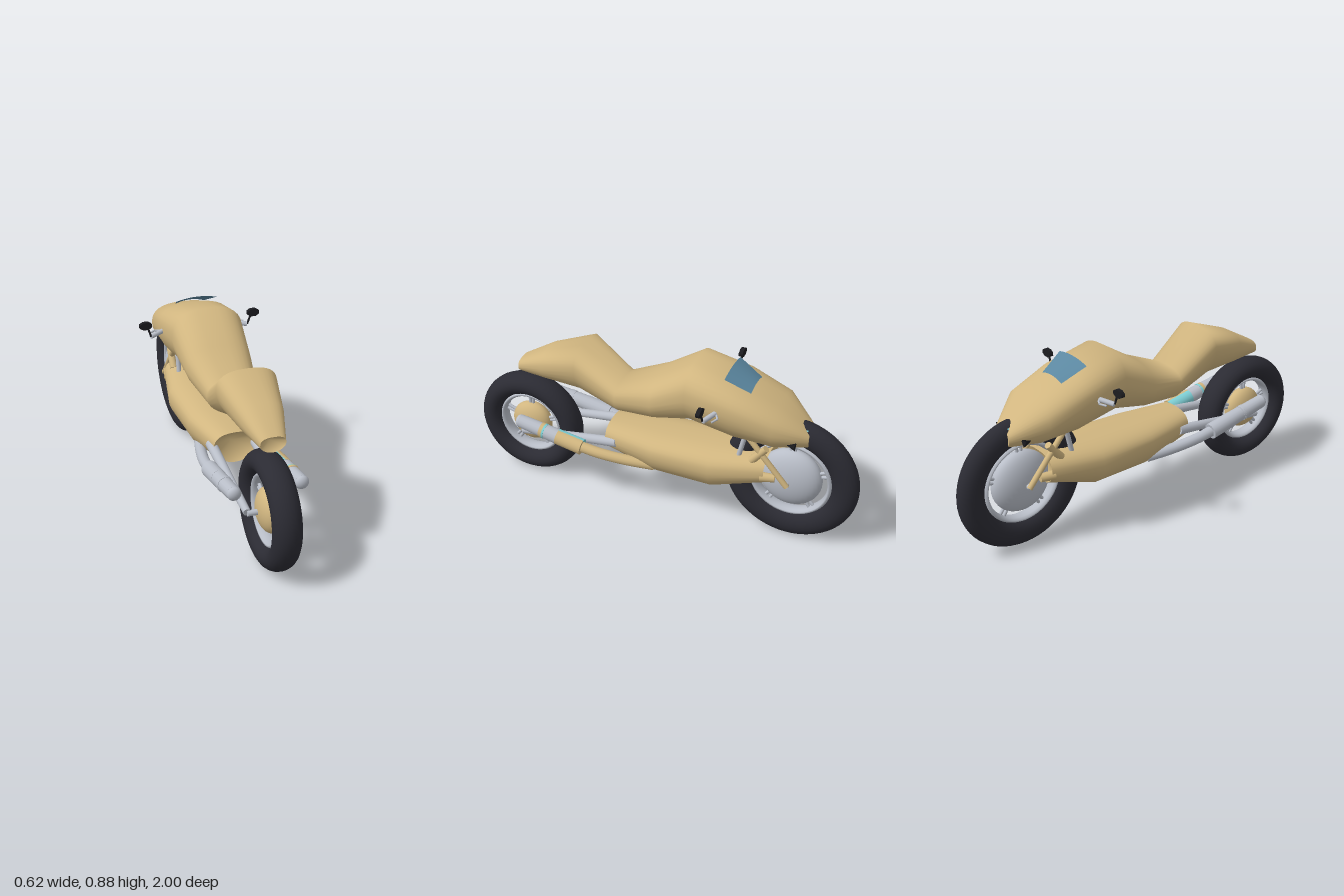
import * as THREE from 'three';

const mat = (name, color, side = THREE.FrontSide) => {
  const m = new THREE.MeshStandardMaterial({ color, side });
  m.name = name;
  return m;
};
const V = (x, y, z) => new THREE.Vector3(x, y, z);

// Hull through cross-sections [z, top, bottom, halfWidth, heightOfWidestPoint], ordered from +z to -z
function hull(sections, nTop, nBottom, insetBack, insetFront) {
  const N = 32, pos = [], idx = [];
  const ring = ([z, top, bot, w, mid]) => {
    for (let j = 0; j < N; j++) {
      const a = (j / N) * Math.PI * 2, c = Math.cos(a), s = Math.sin(a);
      const p = 2 / (s >= 0 ? nTop : nBottom);
      const h = s >= 0 ? top - mid : mid - bot;
      pos.push(w * Math.sign(c) * Math.abs(c) ** p, mid + h * Math.sign(s) * Math.abs(s) ** p, z);
    }
  };
  sections.forEach(ring);
  for (let i = 0; i < sections.length - 1; i++) {
    for (let j = 0; j < N; j++) {
      const k = (j + 1) % N, a = i * N + j, b = i * N + k, c = b + N, d = a + N;
      idx.push(a, d, c, a, c, b);
    }
  }
  // end faces, dished inwards
  const cap = (s, inset, flip) => {
    const start = pos.length / 3;
    ring(s);
    pos.push(0, (s[1] + s[2]) / 2, s[0] + inset);
    for (let j = 0; j < N; j++) {
      const a = start + j, b = start + (j + 1) % N;
      idx.push(start + N, flip ? b : a, flip ? a : b);
    }
  };
  cap(sections[0], -insetBack, false);
  cap(sections[sections.length - 1], insetFront, true);
  const g = new THREE.BufferGeometry();
  g.setAttribute('position', new THREE.Float32BufferAttribute(pos, 3));
  g.setIndex(idx);
  g.computeVertexNormals();
  return g;
}

export function createModel() {
  const tan = mat('tan paint', 0xd1b680);
  const silver = mat('silver', 0xb9bec8);
  const rubber = mat('tyre rubber', 0x2b2b33);
  const black = mat('black', 0x1c1c20);
  const cyan = mat('cyan', 0x7fd0d6);
  const glass = mat('blue glass', 0x5b87a0, THREE.DoubleSide);

  const model = new THREE.Group();
  model.name = 'motorcycle';
  const add = (name, geo, material, parent = model) => {
    const m = new THREE.Mesh(geo, material);
    m.name = name;
    parent.add(m);
    return m;
  };
  // Straight rod from a to b; ra at a, rb at b
  const rod = (name, a, b, ra, rb, material, parent = model, t0 = 0, t1 = Math.PI * 2) => {
    const m = add(name, new THREE.CylinderGeometry(rb, ra, a.distanceTo(b), 16, 1, false, t0, t1), material, parent);
    m.position.copy(a).lerp(b, 0.5);
    m.quaternion.setFromUnitVectors(V(0, 1, 0), b.clone().sub(a).normalize());
    return m;
  };

  // Upper body: tail, seat, tank and nose
  add('upperBody', hull([
    [0.75, 0.665, 0.59, 0.06, 0.63],
    [0.6, 0.755, 0.585, 0.105, 0.68],
    [0.4, 0.832, 0.58, 0.145, 0.74],
    [0.2, 0.68, 0.51, 0.125, 0.61],
    [0, 0.77, 0.53, 0.163, 0.66],
    [-0.18, 0.89, 0.57, 0.18, 0.745],
    [-0.4, 0.835, 0.53, 0.187, 0.72],
    [-0.6, 0.76, 0.53, 0.165, 0.66],
    [-0.75, 0.635, 0.545, 0.06, 0.6],
  ], 2.6, 1.9, 0.05, 0), tan);

  // Lower fairing around the engine
  add('lowerFairing', hull([
    [0.26, 0.435, 0.275, 0.11, 0.36],
    [0, 0.443, 0.21, 0.158, 0.36],
    [-0.3, 0.457, 0.213, 0.168, 0.36],
    [-0.56, 0.463, 0.305, 0.115, 0.38],
  ], 2.6, 1.9, 0.08, 0.05), tan);

  // Wheels, built around the local z axis and then turned onto x
  const wheel = (name, y, z, outer, inner, half, hubR, hubHalf, hubMat) => {
    const w = new THREE.Group();
    w.name = name;
    w.position.set(0, y, z);
    w.rotation.y = Math.PI / 2;
    model.add(w);
    const r = (outer - inner) / 2;
    add('tyre', new THREE.TorusGeometry(inner + r, r, 20, 56), rubber, w).scale.z = half / r;
    add('rim', new THREE.TorusGeometry(inner - 0.004, 0.014, 10, 56), silver, w).scale.z = 2.4;
    add('hubDisc', new THREE.SphereGeometry(hubR, 36, 20), hubMat, w).scale.z = hubHalf / hubR;
    for (let i = 0; i < 5; i++) {
      for (const s of [-1, 1]) {
        const a = (i / 5) * Math.PI * 2 + Math.PI / 2 + s * 0.07;
        const c = Math.cos(a), d = Math.sin(a);
        rod('spoke', V(c * 0.03, d * 0.03, 0), V(c * inner, d * inner, 0), 0.008, 0.008, silver, w);
      }
    }
  };
  wheel('rearWheel', 0.283, 0.722, 0.278, 0.165, 0.068, 0.107, 0.06, tan);
  wheel('frontWheel', 0.34, -0.665, 0.335, 0.2, 0.051, 0.155, 0.072, silver);
  rod('rearAxle', V(-0.105, 0.283, 0.722), V(0.105, 0.283, 0.722), 0.014, 0.014, silver);
  rod('frontAxle', V(-0.09, 0.34, -0.665), V(0.09, 0.34, -0.665), 0.014, 0.014, silver);

  for (const s of [-1, 1]) {
    // Front fork and its brace
    rod('fork', V(s * 0.083, 0.56, -0.475), V(s * 0.085, 0.335, -0.67), 0.014, 0.014, tan);
    rod('forkBrace', V(s * 0.083, 0.44, -0.49), V(s * 0.083, 0.525, -0.56), 0.02, 0.017, tan);
    rod('forkStay', V(s * 0.1, 0.37, -0.54), V(s * 0.085, 0.37, -0.61), 0.024, 0.02, tan);
    rod('steeringTube', V(s * 0.075, 0.43, -0.42), V(s * 0.075, 0.56, -0.45), 0.012, 0.012, silver);

    // Swingarm
    rod('swingarm', V(s * 0.105, 0.36, 0.2), V(s * 0.105, 0.288, 0.72), 0.026, 0.018, silver);

    // Exhaust: header pipe, muffler and rounded tail
    const front = V(s * 0.163, 0.322, 0.36), back = V(s * 0.16, 0.383, 0.7);
    const at = (t) => front.clone().lerp(back, t);
    const header = new THREE.CatmullRomCurve3([
      V(s * 0.1, 0.275, 0), V(s * 0.135, 0.29, 0.14), V(s * 0.158, 0.308, 0.27), front,
    ]);
    add('exhaustHeader', new THREE.TubeGeometry(header, 20, 0.027, 14), s > 0 ? tan : silver);
    if (s > 0) {
      // outer half tan, inner half cyan
      rod('mufflerOuter', front, at(0.4), 0.04, 0.039, tan, model, 0, Math.PI);
      rod('mufflerInner', front, at(0.4), 0.04, 0.039, cyan, model, Math.PI, Math.PI);
    } else {
      rod('mufflerSleeve', front, at(0.4), 0.04, 0.039, silver);
    }
    rod('mufflerBody', at(0.4), back, 0.038, 0.033, silver);
    rod('mufflerBand', at(0.62), at(0.67), 0.039, 0.038, s > 0 ? tan : silver);
    rod('mufflerRing', at(0.59), at(0.62), 0.0385, 0.0385, s > 0 ? cyan : silver);
    const dome = add('mufflerEnd', new THREE.SphereGeometry(0.033, 20, 14), silver);
    dome.position.copy(back);
    dome.scale.z = 0.7;

    // Handlebar, lever and mirror
    rod('handlebar', V(s * 0.165, 0.73, -0.345), V(s * 0.25, 0.72, -0.305), 0.012, 0.012, silver);
    rod('lever', V(s * 0.175, 0.725, -0.34), V(s * 0.215, 0.725, -0.362), 0.005, 0.005, silver);
    rod('leverTip', V(s * 0.215, 0.725, -0.362), V(s * 0.245, 0.722, -0.345), 0.005, 0.005, silver);
    rod('mirrorStalk', V(s * 0.25, 0.722, -0.302), V(s * 0.272, 0.785, -0.3), 0.005, 0.005, black);
    const mirror = add('mirror', new THREE.CylinderGeometry(0.033, 0.033, 0.02, 8), black);
    mirror.geometry.rotateY(Math.PI / 8).rotateX(Math.PI / 2).scale(1, 0.62, 1);
    mirror.position.set(s * 0.278, 0.783, -0.3);

    // Nose side vent
    const vent = add('noseVent', new THREE.ConeGeometry(0.025, 0.045, 3), black);
    vent.rotation.x = Math.PI / 2;
    vent.position.set(s * 0.103, 0.592, -0.68);
  }

  // Windscreen: tapered curved plate rising behind the nose
  const screen = new THREE.PlaneGeometry(1, 1, 10, 4);
  const p = screen.attributes.position;
  for (let i = 0; i < p.count; i++) {
    const u = p.getX(i) * 2, t = p.getY(i) + 0.5;
    p.setXYZ(i, u * (0.105 - 0.03 * t), 0.882 - 0.062 * t - 0.014 * u * u, -0.35 - 0.12 * t);
  }
  screen.computeVertexNormals();
  add('windscreen', screen, glass);

  // Headlight on the tip of the nose
  const lamp = add('headlight', new THREE.SphereGeometry(0.04, 20, 12), cyan);
  lamp.scale.set(1, 0.45, 0.6);
  lamp.position.set(0, 0.64, -0.733);
  const trim = add('headlightTrim', new THREE.BoxGeometry(0.03, 0.012, 0.02), black);
  trim.position.set(0, 0.655, -0.722);

  return model;
}
